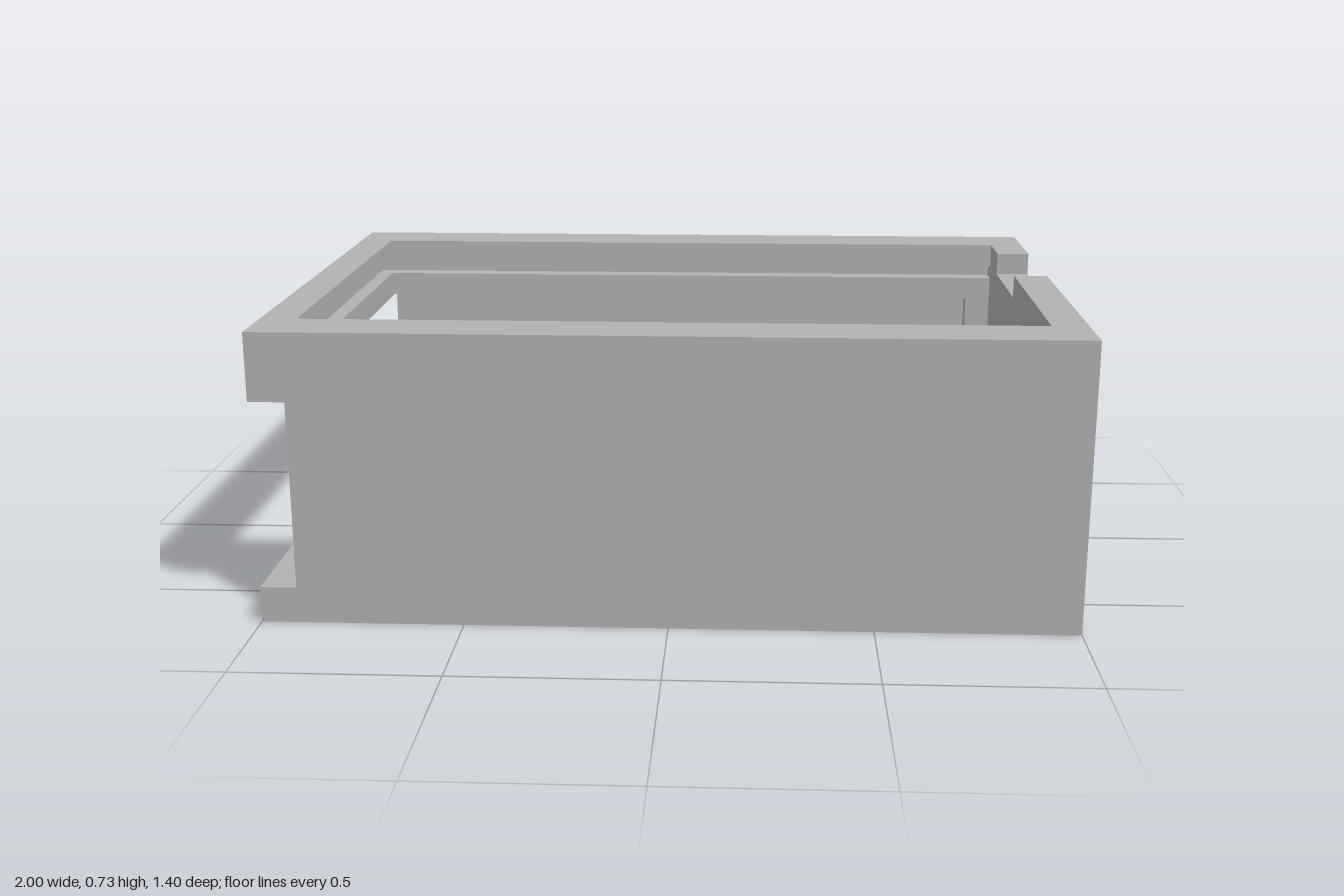
import * as THREE from 'three';

export function createModel() {
  const group = new THREE.Group();
  const grey = new THREE.MeshStandardMaterial({ color: 0xb2b2b2 });
  grey.name = 'grey plastic';

  const add = (name, geometry) => {
    const mesh = new THREE.Mesh(geometry, grey);
    mesh.name = name;
    group.add(mesh);
    return mesh;
  };
  // Box given by its limits on each axis
  const box = (name, x0, x1, y0, y1, z0, z1) => {
    const g = new THREE.BoxGeometry(x1 - x0, y1 - y0, z1 - z0);
    g.translate((x0 + x1) / 2, (y0 + y1) / 2, (z0 + z1) / 2);
    return add(name, g);
  };
  // The same box on the front (+z) or back (-z) side
  const sideBox = (name, s, x0, x1, y0, y1, z0, z1) =>
    box(name, x0, x1, y0, y1, Math.min(s * z0, s * z1), Math.max(s * z0, s * z1));

  const H = 0.73, W = 0.7, FLOOR = 0.09;
  box('floor', -1, 1, 0, FLOOR, -W, W);

  // Long walls, with an overhanging rim, a lid groove and a ledge below it
  for (const s of [1, -1]) {
    const side = s > 0 ? 'front' : 'back';
    sideBox(side + 'Wall', s, -0.91, 1, FLOOR, H, 0.6, W);
    sideBox(side + 'Rim', s, -0.91, 0.91, 0.665, H, 0.55, 0.6);
    sideBox(side + 'Ledge', s, -0.91, 0.91, 0.565, 0.63, 0.55, 0.6);
    sideBox(side + 'LedgeBracket', s, 0.84, 0.91, 0.47, 0.565, 0.55, 0.6);
  }

  // Beam over the open end, grooved on its inner face
  box('endBeamRim', -1, -0.91, 0.665, H, -W, W);
  box('endBeamLedge', -1, -0.91, 0.56, 0.63, -W, W);
  box('endBeamBack', -1, -0.95, 0.63, 0.665, -W, W);
  for (const s of [1, -1]) sideBox('endBeamCorner', s, -0.95, -0.91, 0.63, 0.665, 0.6, W);

  // Closed end wall with a cable hole and a notch in its top edge
  const wall = new THREE.Shape();
  [[-0.6, FLOOR], [0.6, FLOOR], [0.6, H], [0.41, H], [0.41, 0.67], [0.075, 0.67], [0.075, H], [-0.6, H]]
    .forEach(([u, v], i) => (i ? wall.lineTo(u, v) : wall.moveTo(u, v)));
  wall.closePath();
  const hole = new THREE.Path();
  hole.absarc(-0.393, 0.275, 0.123, 0, Math.PI * 2, true);
  wall.holes.push(hole);
  const wallGeo = new THREE.ExtrudeGeometry(wall, { depth: 0.09, bevelEnabled: false, curveSegments: 48 });
  wallGeo.rotateY(Math.PI / 2).translate(0.91, 0, 0);
  add('endWall', wallGeo);

  // Inner compartment, open at one end
  box('compartmentEndWall', -0.52, -0.46, FLOOR, 0.44, -0.6, 0.225);
  box('compartmentLongWall', -0.46, 0.755, FLOOR, 0.44, 0.165, 0.225);
  box('compartmentLip', -0.46, 0.755, 0.385, 0.44, -0.6, -0.52);

  // Split ring on the floor, with a slot on either side
  const R = 0.213, r = 0.158, slotRight = 0.06, slotLeft = 0.048;
  for (const s of [1, -1]) {
    const arc = (radius) => {
      const a0 = Math.asin(slotRight / radius);
      const a1 = Math.PI - Math.asin(slotLeft / radius);
      return Array.from({ length: 33 }, (_, i) => {
        const a = a0 + ((a1 - a0) * i) / 32;
        return new THREE.Vector2(radius * Math.cos(a), s * radius * Math.sin(a));
      });
    };
    const half = new THREE.Shape([...arc(R), ...arc(r).reverse()]);
    const g = new THREE.ExtrudeGeometry(half, { depth: 0.09, bevelEnabled: false });
    g.rotateX(-Math.PI / 2).translate(-0.755, FLOOR, 0.39);
    add(s > 0 ? 'ringBackHalf' : 'ringFrontHalf', g);
  }
  return group;
}
